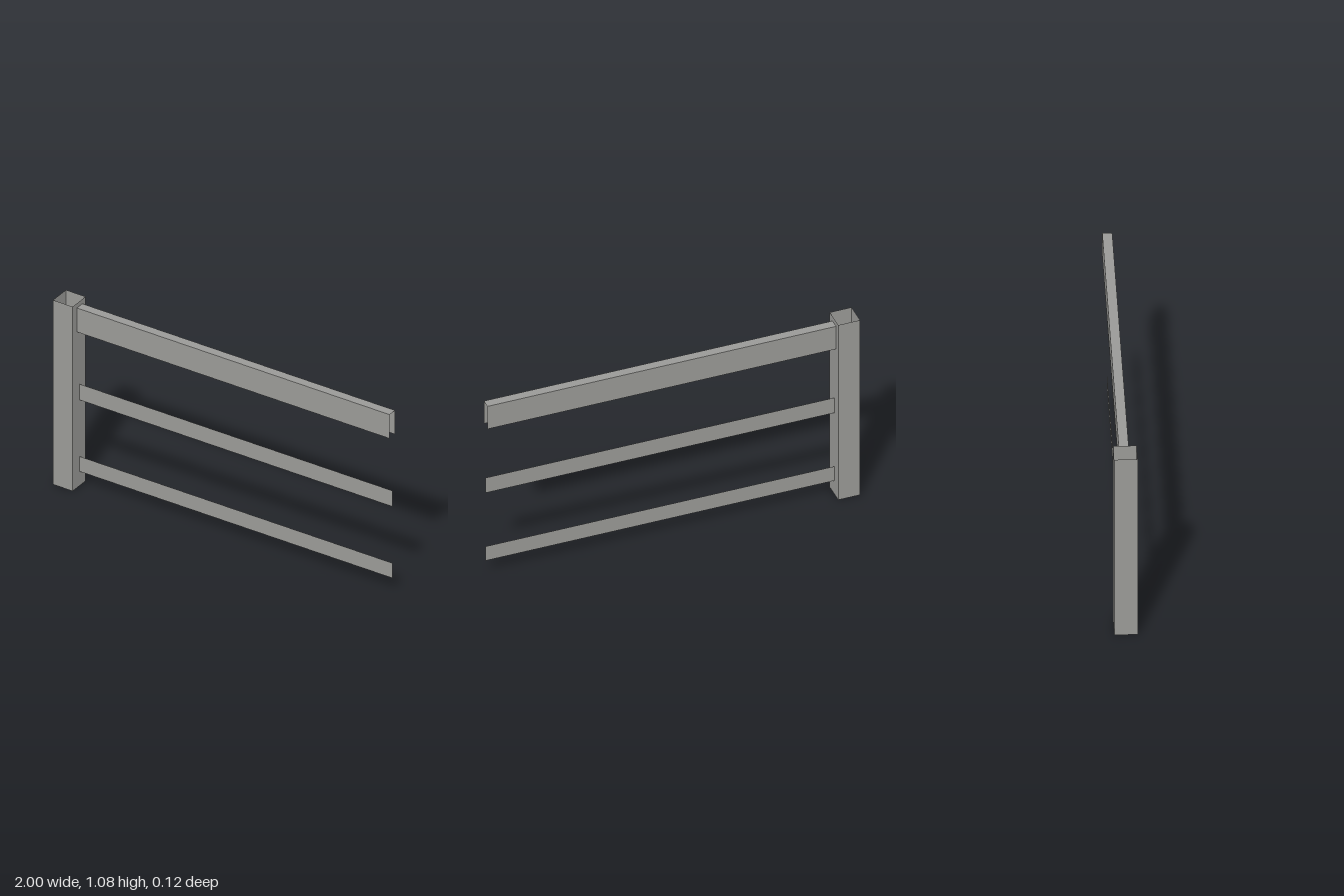
import * as THREE from 'three';

const steel = new THREE.MeshStandardMaterial({ color: 0x9a9a97, side: THREE.DoubleSide });
steel.name = 'galvanisedSteel';

// Open sheet swept along +z: one flat-shaded quad per segment of the [x, y] section.
function sheetProfile(name, section, length) {
  const pos = [];
  for (let i = 0; i < section.length - 1; i++) {
    const [ax, ay] = section[i];
    const [bx, by] = section[i + 1];
    pos.push(ax, ay, 0, bx, by, 0, bx, by, length);
    pos.push(ax, ay, 0, bx, by, length, ax, ay, length);
  }
  const geometry = new THREE.BufferGeometry();
  geometry.setAttribute('position', new THREE.Float32BufferAttribute(pos, 3));
  geometry.computeVertexNormals();
  const mesh = new THREE.Mesh(geometry, steel);
  mesh.name = name;
  return mesh;
}

export function createModel() {
  const model = new THREE.Group();
  model.name = 'fenceSection';

  // Hollow square post, open at both ends
  const h = 0.059;
  const post = sheetProfile('post', [[-h, -h], [-h, h], [h, h], [h, -h], [-h, -h]], 1.08);
  post.rotation.x = -Math.PI / 2;
  post.position.set(-0.941, 0, 0);
  model.add(post);

  // Rails run along +x from the inner face of the post
  const start = -0.882, length = 1.88, railZ = -0.005;
  const addRail = (name, section) => {
    const rail = sheetProfile(name, section, length);
    rail.rotation.y = Math.PI / 2;
    rail.position.set(start, 0, railZ);
    model.add(rail);
  };

  // Top rail: channel open underneath
  const w = 0.025;
  addRail('topRail', [[w, 0.913], [w, 1.053], [-w, 1.053], [-w, 0.913]]);

  // Flat strips
  addRail('middleRail', [[0, 0.502], [0, 0.595]]);
  addRail('bottomRail', [[0, 0.083], [0, 0.171]]);

  return model;
}
